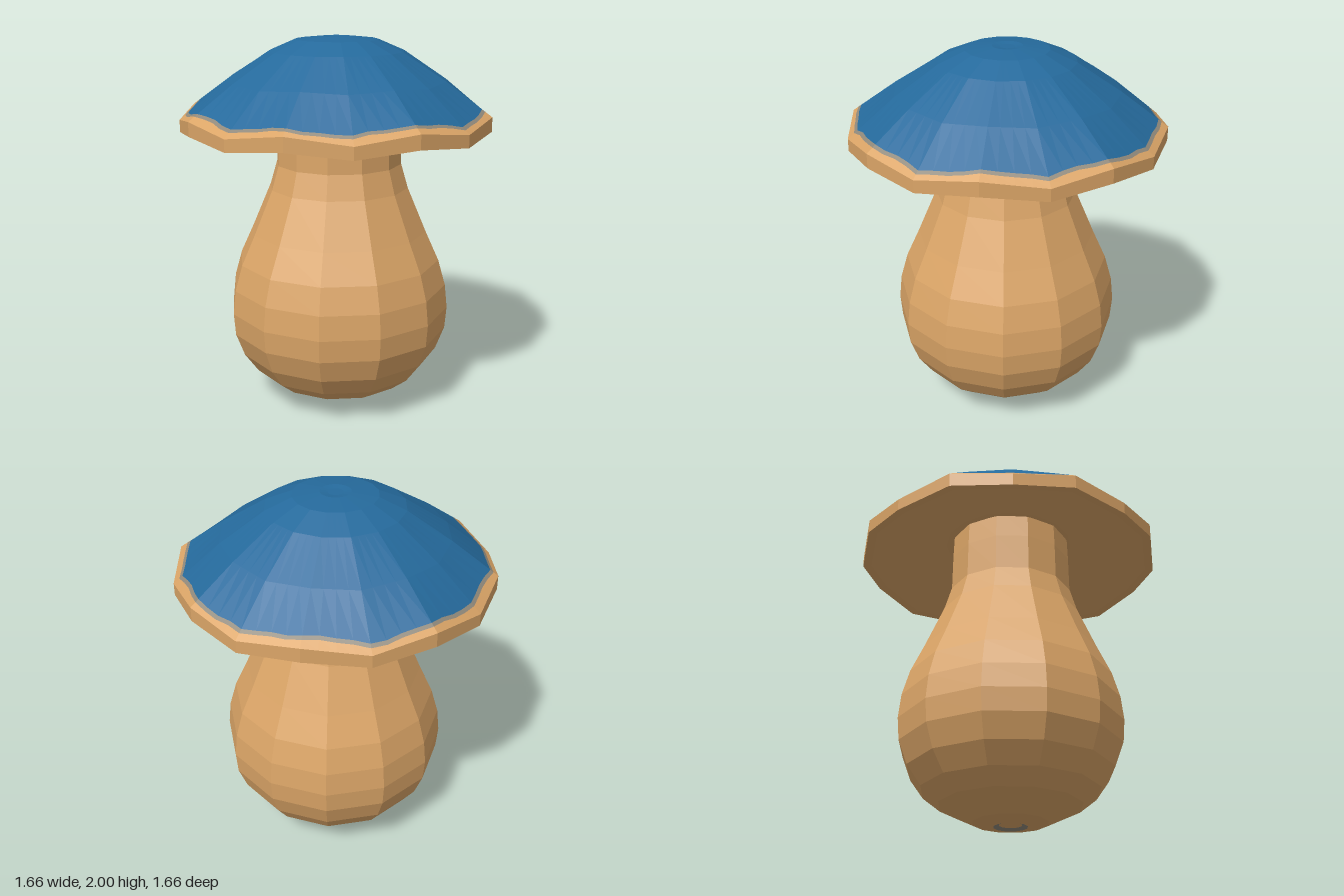
import * as THREE from 'three';

const tan = new THREE.MeshStandardMaterial({ color: 0xdba567, flatShading: true });
tan.name = 'tan';
const blue = new THREE.MeshStandardMaterial({ color: 0x256a9c, flatShading: true });
blue.name = 'blue';
const grey = new THREE.MeshStandardMaterial({ color: 0x90897b, flatShading: true });
grey.name = 'grey';

const SIDES = 16;   // corners of the cap
const STEPS = 4;    // subdivisions of each cap side, for the ragged paint edge

// Point on the cap: ring = [radius, height, rise of every second corner]
function capPoint([r, y, rise], step) {
  const k = Math.floor(step / STEPS), f = (step % STEPS) / STEPS;
  const corner = (i) => {
    const a = (i / SIDES) * Math.PI * 2;
    return new THREE.Vector3(r * Math.sin(a), y + (i % 2 ? rise : 0), r * Math.cos(a));
  };
  return corner(k).lerp(corner(k + 1), f);
}

// Joins rings (functions of step, listed from below, round the rim, to the top)
function capSurface(name, rings, material) {
  const n = SIDES * STEPS, pos = [], index = [];
  rings.forEach((ring) => {
    for (let s = 0; s <= n; s++) pos.push(...ring(s % n).toArray());
  });
  for (let j = 0; j < rings.length - 1; j++) {
    for (let s = 0; s < n; s++) {
      const a = j * (n + 1) + s, b = a + n + 1;
      index.push(a, a + 1, b, a + 1, b + 1, b);
    }
  }
  const geo = new THREE.BufferGeometry();
  geo.setAttribute('position', new THREE.Float32BufferAttribute(pos, 3));
  geo.setIndex(index);
  geo.computeVertexNormals();
  const mesh = new THREE.Mesh(geo, material);
  mesh.name = name;
  return mesh;
}

function lathe(name, points, material) {
  const geo = new THREE.LatheGeometry(points.map(([r, y]) => new THREE.Vector2(r, y)), 12);
  const mesh = new THREE.Mesh(geo, material);
  mesh.name = name;
  return mesh;
}

export function createModel() {
  const model = new THREE.Group();
  model.name = 'mushroom';

  // Bulbous twelve-sided stem with a small dimple under it
  const stem = new THREE.Group();
  stem.name = 'stem';
  stem.position.z = 0.015;
  stem.add(
    lathe('stemDimple', [[0, 0.015], [0.06, 0.01]], tan),
    lathe('footRing', [[0.06, 0.01], [0.09, 0]], grey),
    lathe('stemBody', [
      [0.09, 0], [0.2, 0.02], [0.38, 0.105], [0.475, 0.18], [0.55, 0.285], [0.597, 0.41],
      [0.607, 0.53], [0.593, 0.66], [0.553, 0.8], [0.48, 0.96], [0.378, 1.2],
      [0.34, 1.33], [0.337, 1.53], [0.33, 1.72], [0, 1.74],
    ], tan),
  );

  // Cap rings: radius, height, rise of every second corner
  const fixed = (...ring) => (s) => capPoint(ring, s);
  const shoulder = [0.59, 1.77, 0.012], rim = [0.832, 1.57, 0.04];
  // Ragged paint edge between shoulder and rim
  const edge = (f) => (s) => {
    const a = (s / (SIDES * STEPS)) * Math.PI * 2;
    const wobble = 0.022 * Math.sin(5 * a + 1) + 0.018 * Math.sin(11 * a) + 0.012 * Math.sin(23 * a + 2);
    return capPoint(shoulder, s).lerp(capPoint(rim, s), f + wobble);
  };

  const cap = new THREE.Group();
  cap.name = 'cap';
  cap.add(
    capSurface('capUndersideAndRim', [
      fixed(0.25, 1.67, 0), fixed(0.36, 1.65, 0), fixed(0.785, 1.51, 0.03),
      fixed(0.832, 1.505, 0.03), fixed(...rim), edge(0.87),
    ], tan),
    capSurface('paintBorder', [edge(0.87), edge(0.8)], grey),
    capSurface('capTop', [
      edge(0.8), fixed(...shoulder), fixed(0.36, 1.925, 0), fixed(0.22, 1.985, 0),
      fixed(0.08, 2, 0), fixed(0.04, 1.995, 0), fixed(0, 1.995, 0),
    ], blue),
  );

  model.add(stem, cap);
  return model;
}
